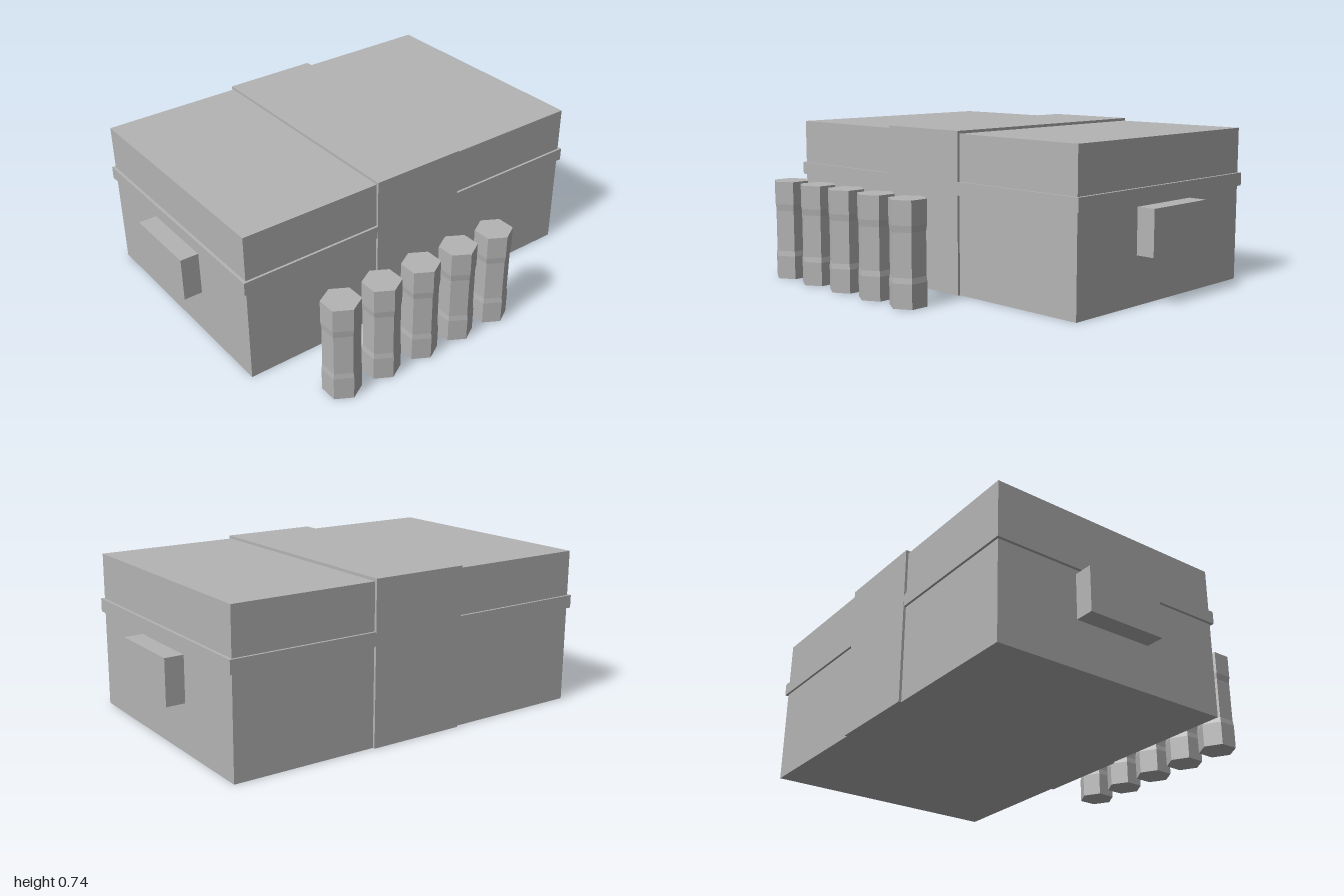
import * as THREE from 'three';

export function createModel() {
  const model = new THREE.Group();
  model.name = 'chestWithCartridges';
  const grey = new THREE.MeshStandardMaterial({ color: 0xb4b4b4, flatShading: true });
  grey.name = 'plain grey';

  // Box given by its lower and upper corners
  function block(name, [x0, y0, z0], [x1, y1, z1]) {
    const mesh = new THREE.Mesh(new THREE.BoxGeometry(x1 - x0, y1 - y0, z1 - z0), grey);
    mesh.position.set((x0 + x1) / 2, (y0 + y1) / 2, (z0 + z1) / 2);
    mesh.name = name;
    model.add(mesh);
  }

  // Chest with its wrapped bands
  block('chestBody', [-0.912, 0, -0.767], [0.912, 0.725, 0.403]);
  block('rimBand', [-0.926, 0.452, -0.778], [0.926, 0.513, 0.414]);
  block('centreStrap', [-0.233, 0, -0.779], [0.232, 0.738, 0.415]);

  // Side handles
  block('leftHandle', [0.9, 0.222, -0.375], [1, 0.432, 0.008]);
  block('rightHandle', [-1, 0.222, -0.375], [-0.9, 0.432, 0.008]);

  // Row of six-sided cartridges with a slight waist
  const profile = [
    [0, 0], [0.086, 0], [0.087, 0.11], [0.083, 0.135],
    [0.083, 0.33], [0.087, 0.36], [0.087, 0.468], [0, 0.468],
  ].map(([r, y]) => new THREE.Vector2(r, y));
  const cartridgeShape = new THREE.LatheGeometry(profile, 6);
  for (let i = 0; i < 5; i++) {
    const cartridge = new THREE.Mesh(cartridgeShape, grey);
    cartridge.name = 'cartridge' + (i + 1);
    cartridge.position.set(-0.639 + i * 0.2125, 0, 0.689);
    model.add(cartridge);
  }
  return model;
}
